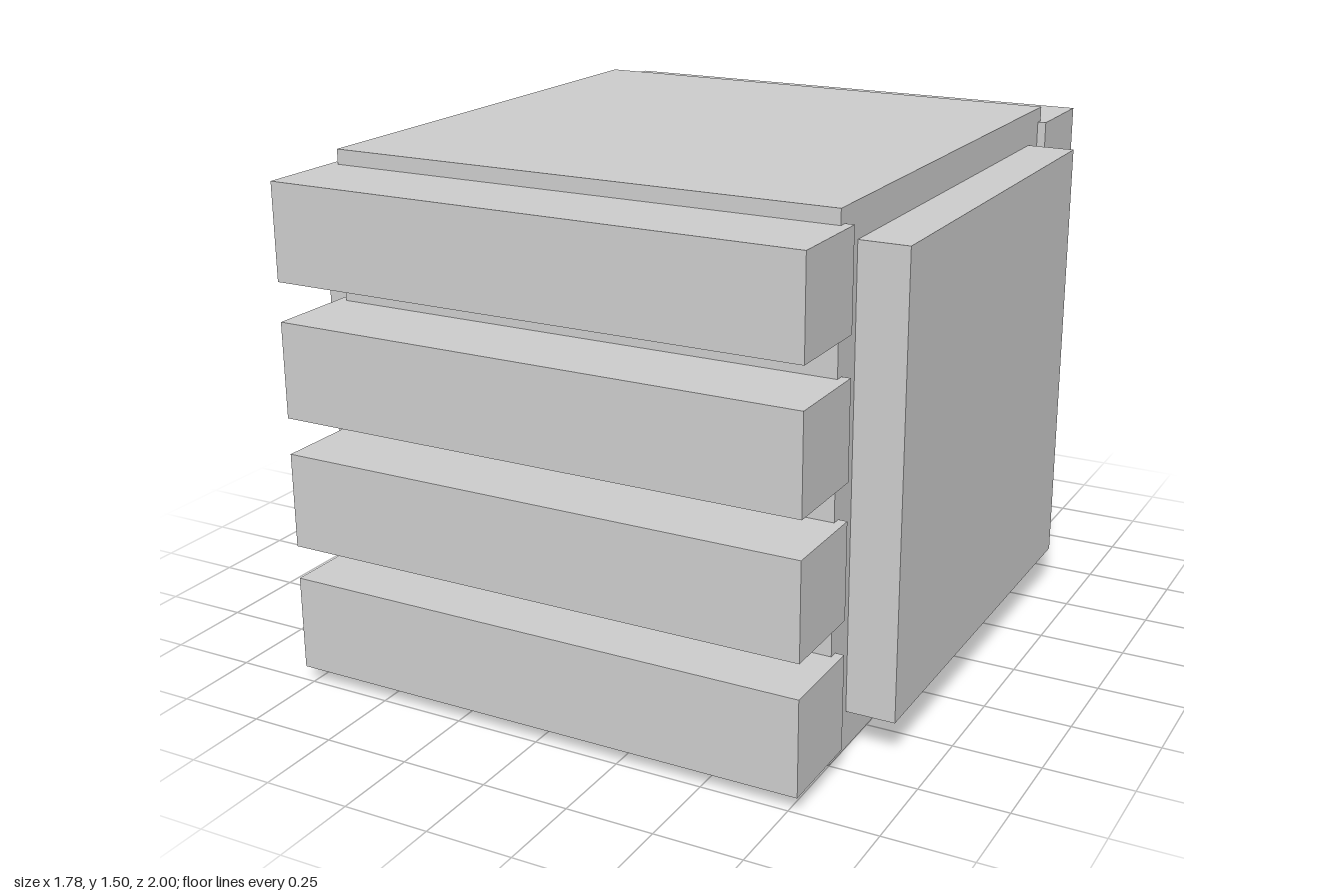
import * as THREE from 'three';

export function createModel() {
  const model = new THREE.Group();
  const material = new THREE.MeshStandardMaterial({ color: 0xcccccc, flatShading: true });

  const addBox = (name, [w, h, d], [x, y, z]) => {
    const mesh = new THREE.Mesh(new THREE.BoxGeometry(w, h, d), material);
    mesh.name = name;
    mesh.position.set(x, y, z);
    model.add(mesh);
  };

  // Solid cube body
  addBox('body', [1.5, 1.5, 1.5], [0, 0.75, 0]);

  // Raised panels on the left and right
  for (const side of [1, -1]) {
    addBox(side > 0 ? 'leftPanel' : 'rightPanel', [0.17, 1.29, 1.29], [side * 0.805, 0.755, 0]);
  }

  // Four horizontal slats on the front and back, sunk slightly into the body
  for (const side of [1, -1]) {
    [0.18, 0.553, 0.933, 1.32].forEach((y, i) => {
      addBox(`${side > 0 ? 'front' : 'back'}Slat${i + 1}`, [1.55, 0.275, 0.275], [0, y, side * 0.8625]);
    });
  }

  return model;
}
